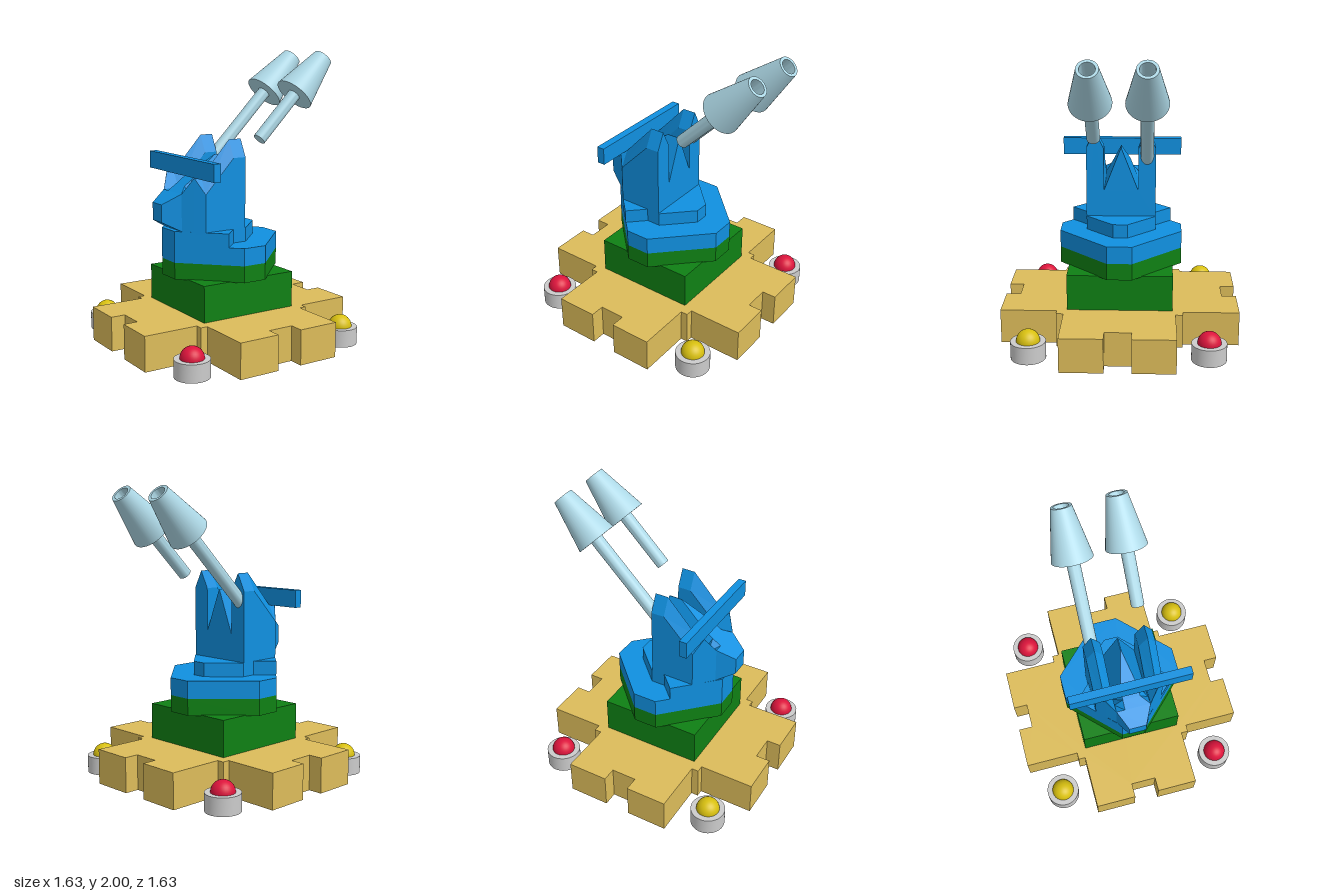
import * as THREE from 'three';
import { toCreasedNormals } from 'three/addons/utils/BufferGeometryUtils.js';

const mat = (color, flatShading = false) => new THREE.MeshStandardMaterial({ color, flatShading });
const SAND = mat(0xdcbc5a, true), GREEN = mat(0x0f8014, true), BLUE = mat(0x1090e0, true);
const STEEL = mat(0xadd8e6), GREY = mat(0xcccccc), RED = mat(0xdc143c), YELLOW = mat(0xd8c010);

function add(parent, name, geometry, material, x = 0, y = 0, z = 0) {
  const mesh = new THREE.Mesh(geometry, material);
  mesh.name = name;
  mesh.position.set(x, y, z);
  parent.add(mesh);
  return mesh;
}

// Upright slab from a plan outline of [x, z] points
function slab(outline, y0, y1) {
  const shape = new THREE.Shape(outline.map(([x, z]) => new THREE.Vector2(x, -z)));
  return new THREE.ExtrudeGeometry(shape, { depth: y1 - y0, bevelEnabled: false })
    .rotateX(-Math.PI / 2).translate(0, y0, 0);
}

// Solid through cross-sections { x, pts: [z, y] } ordered by rising x
function loft(sections) {
  const pos = [];
  const put = (s, i) => pos.push(s.x, s.pts[i][1], s.pts[i][0]);
  const n = sections[0].pts.length;
  for (let k = 0; k + 1 < sections.length; k++) {
    const a = sections[k], b = sections[k + 1];
    for (let i = 0; i < n; i++) {
      const j = (i + 1) % n;
      put(a, i); put(b, i); put(b, j);
      put(a, i); put(b, j); put(a, j);
    }
  }
  [sections[0], sections[sections.length - 1]].forEach((s, end) => {
    const contour = s.pts.map(p => new THREE.Vector2(p[0], p[1]));
    for (const f of THREE.ShapeUtils.triangulateShape(contour, [])) {
      (end ? [f[2], f[1], f[0]] : f).forEach(i => put(s, i));
    }
  });
  const g = new THREE.BufferGeometry();
  g.setAttribute('position', new THREE.Float32BufferAttribute(pos, 3));
  g.computeVertexNormals();
  return g;
}

// Mirror a half section (from +z) onto -z
const mirrored = half => [...half, ...half.slice().reverse().map(([z, y]) => [-z, y])];

function createModel() {
  const model = new THREE.Group();
  model.name = 'turret';

  // Cross-shaped base with a notch in each arm: one quarter turned four times
  const quarter = [[0.715, -0.09], [0.715, 0.09], [0.815, 0.09], [0.815, 0.38],
    [0.43, 0.38], [0.43, 0.43], [0.38, 0.43], [0.38, 0.815], [0.09, 0.815], [0.09, 0.715]];
  const plan = [];
  for (let k = 0; k < 4; k++) {
    for (const p of quarter.slice(1)) {
      let [x, z] = p;
      for (let t = 0; t < k; t++) [x, z] = [-z, x];
      plan.push([x, z]);
    }
  }
  add(model, 'base', slab(plan, 0, 0.24), SAND);

  // Corner posts with lamps
  for (const x of [-0.6, 0.6]) for (const z of [-0.6, 0.6]) {
    add(model, 'lampPost', toCreasedNormals(new THREE.CylinderGeometry(0.118, 0.118, 0.12, 40), 0.6),
      GREY, x, 0.06, z);
    add(model, 'lamp', new THREE.SphereGeometry(0.08, 32, 20), x * z > 0 ? YELLOW : RED, x, 0.12, z);
  }

  // Pedestal and octagonal turntable
  add(model, 'pedestal', new THREE.BoxGeometry(0.72, 0.25, 0.72), GREEN, 0, 0.365, 0);
  const c = 0.085, r = 0.422;
  const octagon = [[r, -c], [r, c], [c, r], [-c, r], [-r, c], [-r, -c], [-c, -r], [c, -r]];
  add(model, 'turntableRing', slab(octagon, 0.485, 0.6), GREEN);
  add(model, 'turntable', slab(octagon, 0.6, 0.72), BLUE);

  // Stepped platform under the gun house
  const side = [[0.24, 0.05], [0.05, 0.24], [-0.05, 0.24], [-0.16, 0.35], [-0.422, 0.085]];
  add(model, 'platform',
    slab([...side, ...side.slice().reverse().map(([x, z]) => [x, -z])], 0.72, 0.815), BLUE);

  // Gun house: two roofed prongs with a wedge between them, sloping to the rear
  const house = (x, outer, shoulder, peakZ, peak, inner, valley, wedgeZ, wedge) => ({
    x,
    pts: mirrored([[outer, 0.8], [outer, shoulder], [peakZ, peak], [0.12, inner],
      [0.119, valley], [wedgeZ, wedge]]),
  });
  add(model, 'gunHouse', loft([
    house(-0.385, 0.12, 1.07, 0.12, 1.07, 1.07, 1.07, 0.06, 1.07),
    house(-0.325, 0.183, 1.18, 0.18, 1.18, 1.07, 1.04, 0.06, 1.11),
    house(-0.27, 0.24, 1.07, 0.18, 1.18, 1.07, 1.0, 0.06, 1.15),
    house(-0.05, 0.24, 1.3, 0.18, 1.42, 1.3, 1.0, 0.002, 1.3),
    house(0.045, 0.24, 1.3, 0.18, 1.42, 1.3, 1.0, 0.002, 1.3),
  ]), BLUE);
  add(model, 'rearNose', loft([
    { x: -0.505, pts: mirrored([[0.06, 0.88], [0.06, 1.0]]) },
    { x: -0.385, pts: mirrored([[0.12, 0.815], [0.12, 1.07]]) },
  ]), BLUE);
  add(model, 'crossbar', new THREE.BoxGeometry(0.055, 0.12, 0.845), BLUE, -0.297, 1.24, 0);

  // Barrels along a 45 degree axis, each with a hollow conical muzzle
  const muzzle = [[0, 0], [0.14, 0], [0.07, 0.354], [0.05, 0.354], [0.05, 0.15], [0, 0.15]]
    .map(([x, y]) => new THREE.Vector2(x, y));
  for (const [z, start] of [[0.18, -0.417], [-0.18, -0.7]]) {
    const barrel = new THREE.Group();
    barrel.name = z > 0 ? 'frontBarrel' : 'rearBarrel';
    barrel.position.set(0.495, 1.7, z);
    barrel.rotation.z = -Math.PI / 4;
    add(barrel, 'muzzle', toCreasedNormals(new THREE.LatheGeometry(muzzle, 40), 0.6), STEEL);
    add(barrel, 'shaft',
      toCreasedNormals(new THREE.CylinderGeometry(0.045, 0.045, 0.02 - start, 32), 0.6),
      STEEL, 0, (start + 0.02) / 2, 0);
    model.add(barrel);
  }
  return model;
}

export { createModel };
